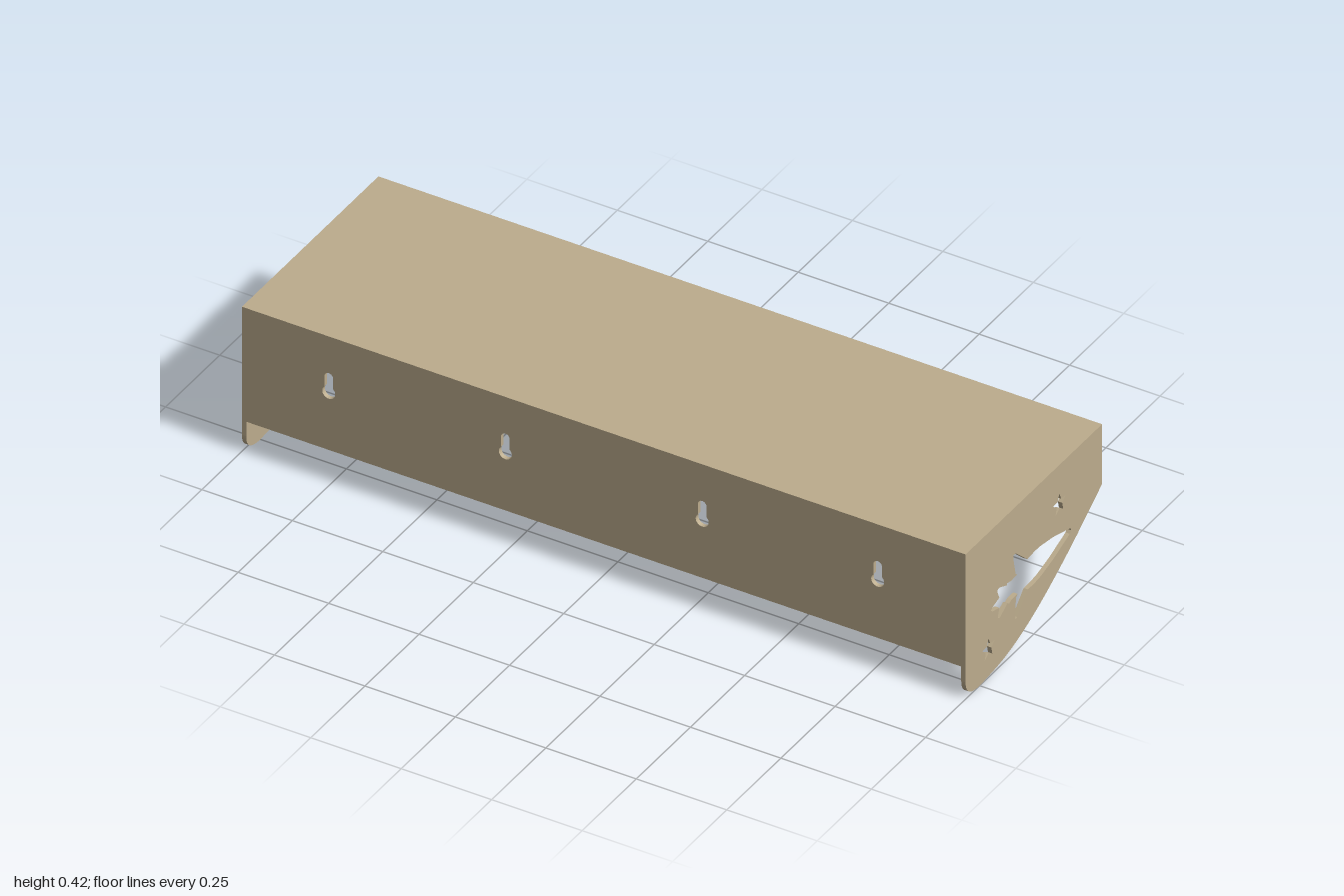
import * as THREE from 'three';

const T = 0.012;        // sheet thickness
const TOP = 0.418;      // top height
const HALF_D = 0.315;   // half depth

// Rocket cut-out as [z, y] pairs in thousandths
const ROCKET = [
  [30, 234], [-5, 237], [-30, 236], [-88, 227], [-166, 206], [-171, 202], [-172, 197], [-166, 190],
  [-91, 163], [-32, 148], [-5, 145], [27, 145], [77, 95], [82, 92], [88, 98], [82, 154], [75, 161],
  [102, 161], [114, 156], [123, 161], [156, 141], [163, 143], [166, 148], [159, 171],
  [191, 179], [198, 186], [191, 191], [159, 200], [168, 222], [166, 228], [156, 228],
  [125, 215], [123, 220], [102, 216], [77, 218], [84, 224], [95, 275], [93, 283], [84, 283],
];

// Shape points use (-z, y) so that the extrusion turns onto the x axis
const pt = (z, y) => new THREE.Vector2(-z, y);

function starHole(z, y, r) {
  const points = [];
  for (let i = 0; i < 10; i++) {
    const a = Math.PI / 2 + (i * Math.PI) / 5;
    const k = i % 2 ? r * 0.45 : r;
    points.push(pt(z + Math.cos(a) * k, y + Math.sin(a) * k));
  }
  return new THREE.Path(points);
}

// End panel with curved lower edge, rocket and two stars
function sideGeometry() {
  const s = new THREE.Shape();
  s.moveTo(-HALF_D, TOP);
  s.lineTo(-HALF_D, 0.048);
  s.bezierCurveTo(-HALF_D, 0.018, -0.295, 0, -0.25, 0);
  s.splineThru([
    pt(0.2, 0.004), pt(0.15, 0.01), pt(0.1, 0.021), pt(0.05, 0.037), pt(0, 0.057),
    pt(-0.05, 0.081), pt(-0.1, 0.108), pt(-0.15, 0.137), pt(-0.2, 0.168),
  ]);
  s.lineTo(HALF_D, 0.245);
  s.lineTo(HALF_D, TOP);
  s.closePath();
  s.holes.push(
    new THREE.Path(ROCKET.map(([z, y]) => pt(z / 1000, y / 1000))),
    starHole(-0.118, 0.305, 0.03),
    starHole(0.209, 0.082, 0.03),
  );
  return new THREE.ExtrudeGeometry(s, { depth: T, bevelEnabled: false, curveSegments: 16 })
    .rotateY(Math.PI / 2);
}

// Keyhole: a round opening with a narrow slot above it
function keyhole(x) {
  const r = 0.018, w = 0.012, y = 0.256, top = 0.3;
  const a = Math.acos(w / r);
  const p = new THREE.Path();
  p.absarc(x, top, w, 0, Math.PI, false);
  p.absarc(x, y, r, Math.PI - a, 2 * Math.PI + a, false);
  p.closePath();
  return p;
}

// Front panel with four keyholes
function frontGeometry() {
  const w = 1 - T, bottom = 0.09;
  const s = new THREE.Shape([
    new THREE.Vector2(-w, bottom), new THREE.Vector2(w, bottom),
    new THREE.Vector2(w, TOP - T), new THREE.Vector2(-w, TOP - T),
  ]);
  for (const x of [-0.76, -0.272, 0.272, 0.757]) s.holes.push(keyhole(x));
  return new THREE.ExtrudeGeometry(s, { depth: T, bevelEnabled: false, curveSegments: 10 });
}

export function createModel() {
  const model = new THREE.Group();
  model.name = 'wallShelf';
  const tan = new THREE.MeshStandardMaterial({ color: 0xbcac8d });
  tan.name = 'tan';

  const add = (name, geometry, x, y, z) => {
    const mesh = new THREE.Mesh(geometry, tan);
    mesh.name = name;
    mesh.position.set(x, y, z);
    model.add(mesh);
  };

  // Top sheet between the end panels
  const inner = 2 - 2 * T;
  add('topPanel', new THREE.BoxGeometry(inner, T, 2 * HALF_D), 0, TOP - T / 2, 0);

  // Front sheet and short back lip
  add('frontPanel', frontGeometry(), 0, 0, HALF_D - T);
  const lipBottom = 0.292, lipTop = TOP - T;
  add('backLip', new THREE.BoxGeometry(inner, lipTop - lipBottom, T),
    0, (lipTop + lipBottom) / 2, -HALF_D + T / 2);

  // End panels
  const side = sideGeometry();
  add('leftSide', side, 1 - T, 0, 0);
  add('rightSide', side, -1, 0, 0);
  return model;
}
